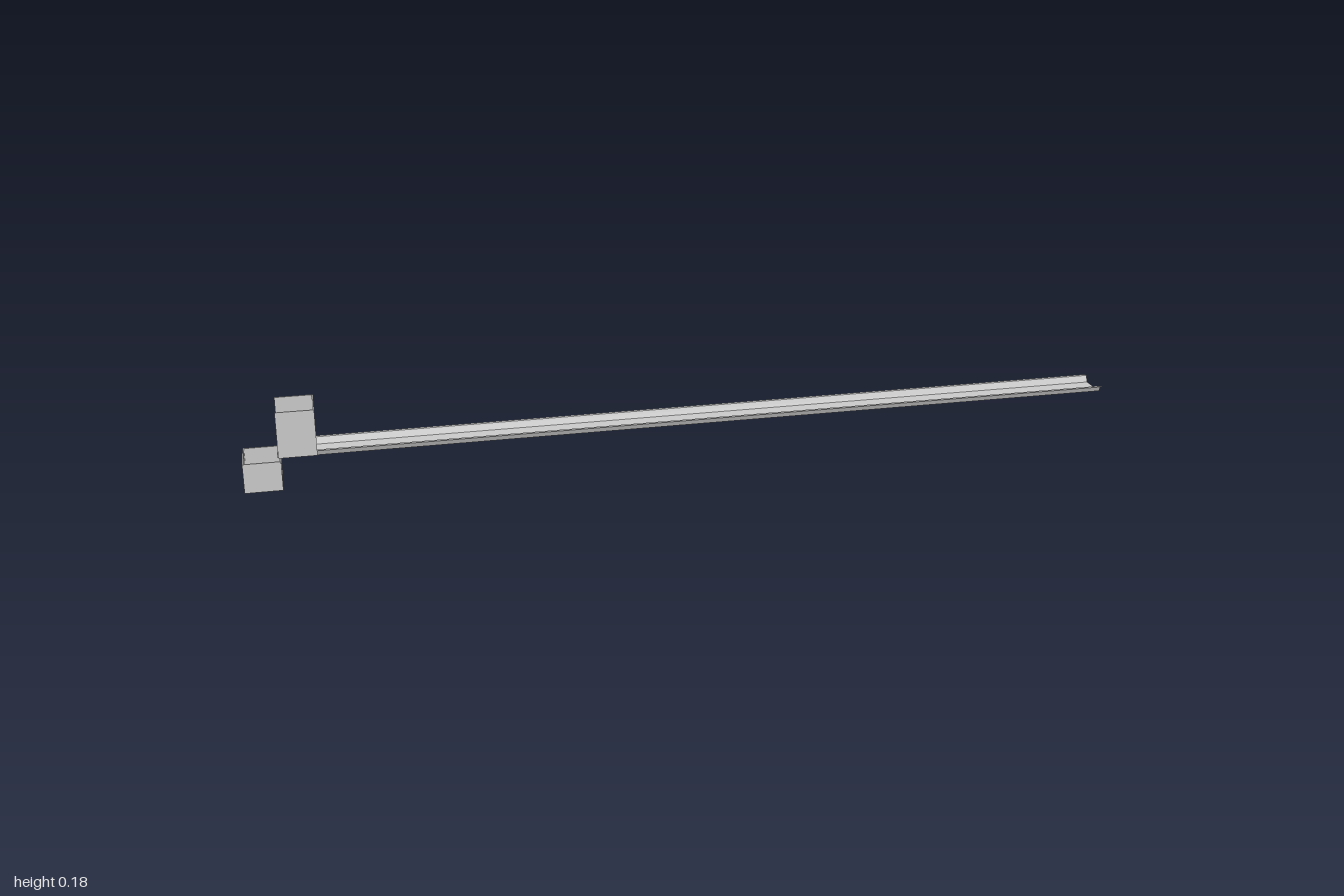
import * as THREE from 'three';

const material = new THREE.MeshStandardMaterial({ color: 0xcccccc, flatShading: true, side: THREE.DoubleSide });

// thin panel given by its lower and upper corners
function panel(parent, name, [x0, y0, z0], [x1, y1, z1]) {
  const mesh = new THREE.Mesh(new THREE.BoxGeometry(x1 - x0, y1 - y0, z1 - z0), material);
  mesh.position.set((x0 + x1) / 2, (y0 + y1) / 2, (z0 + z1) / 2);
  mesh.name = name;
  parent.add(mesh);
}

// open sheet swept along x from a (z, y) profile
function sheet(profile, x0, x1) {
  const positions = [];
  for (let i = 0; i + 1 < profile.length; i++) {
    const [za, ya] = profile[i], [zb, yb] = profile[i + 1];
    positions.push(x0, ya, za, x0, yb, zb, x1, yb, zb, x0, ya, za, x1, yb, zb, x1, ya, za);
  }
  const geometry = new THREE.BufferGeometry();
  geometry.setAttribute('position', new THREE.Float32BufferAttribute(positions, 3));
  geometry.computeVertexNormals();
  return geometry;
}

export function createModel() {
  const model = new THREE.Group();
  model.name = 'channelWithTrays';
  const t = 0.003;

  // long shallow channel with narrow outward lips
  const channel = new THREE.Mesh(sheet([
    [-0.05, 0.083], [-0.042, 0.083], [-0.036, 0.068],
    [0.03, 0.068], [0.036, 0.083], [0.044, 0.083],
  ], -0.925, 1), material);
  channel.name = 'channel';
  model.add(channel);

  // feed hopper: two side walls and a raised gate, open above and behind
  const hopper = new THREE.Group();
  hopper.name = 'hopper';
  model.add(hopper);
  panel(hopper, 'hopperLeftWall', [-0.923, 0.075, 0.051 - t], [-0.84, 0.18, 0.051]);
  panel(hopper, 'hopperRightWall', [-0.923, 0.075, -0.051], [-0.84, 0.18, -0.051 + t]);
  panel(hopper, 'hopperGate', [-0.84 - t, 0.117, -0.051 + t], [-0.84, 0.18, 0.051 - t]);

  // catch tray below the end of the channel, open on top
  const tray = new THREE.Group();
  tray.name = 'tray';
  model.add(tray);
  const x0 = -1, x1 = -0.918, h = 0.067, w = 0.05;
  panel(tray, 'trayFloor', [x0, 0, -w], [x1, t, w]);
  panel(tray, 'trayFrontWall', [x0, t, w - t], [x1, h, w]);
  panel(tray, 'trayBackWall', [x0, t, -w], [x1, h, -w + t]);
  panel(tray, 'trayOuterWall', [x0, t, -w + t], [x0 + t, h, w - t]);
  panel(tray, 'trayInnerWall', [x1 - t, t, -w + t], [x1, h, w - t]);

  return model;
}
